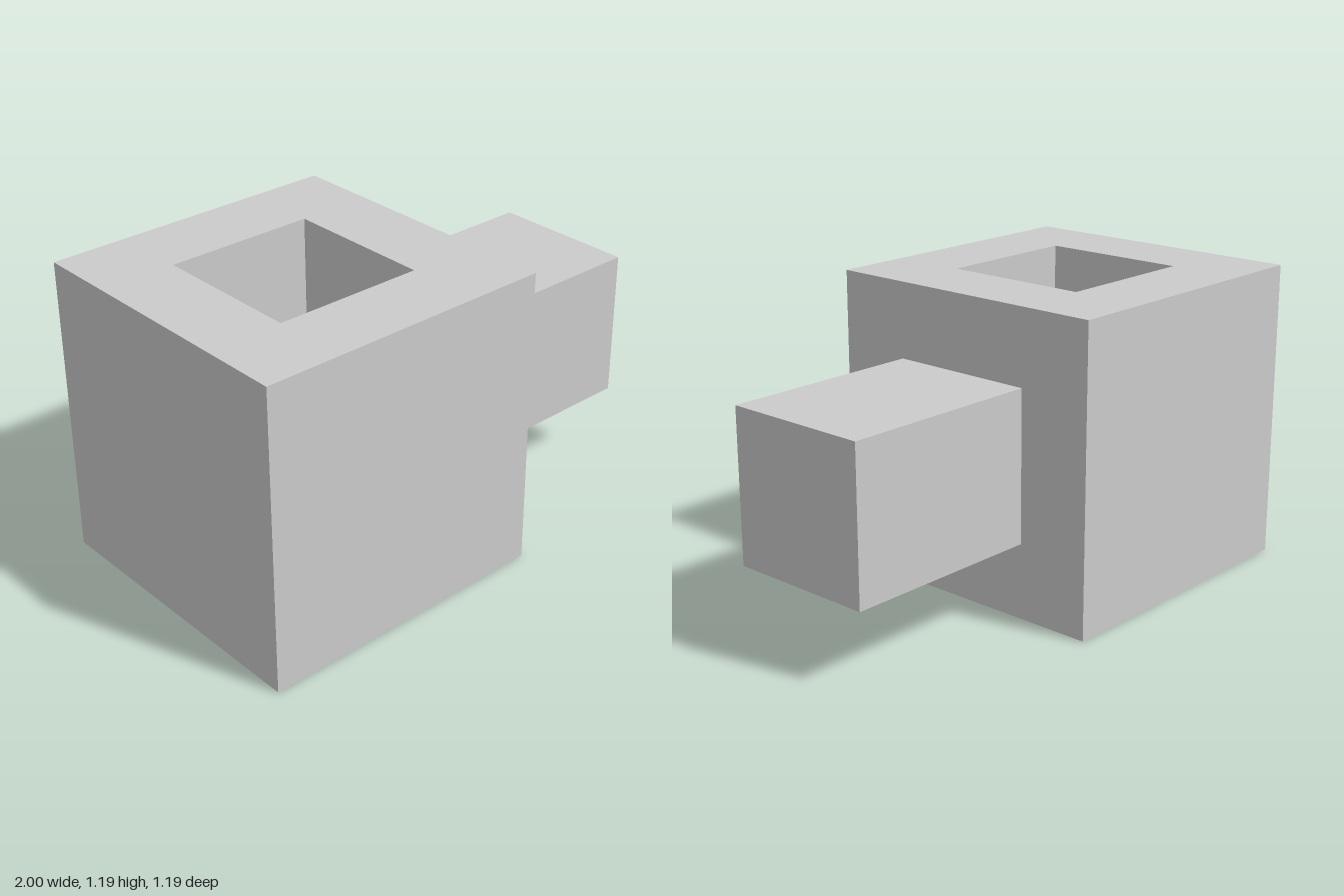
import * as THREE from 'three';

const U = 2 / 37;      // one design unit; overall length is 37 units
const CUBE = 22;       // side of the block
const PEG = 11;        // side of the peg and of the socket
const LENGTH = 15;     // peg length and socket depth

export function createModel() {
  const group = new THREE.Group();
  const material = new THREE.MeshStandardMaterial({ color: 0xcccccc, flatShading: true });

  // Block with a square socket in its top: a four-sided turned profile
  const outer = CUBE / Math.SQRT2, inner = PEG / Math.SQRT2;
  const profile = [
    [0, 0], [outer, 0], [outer, CUBE], [inner, CUBE], [inner, CUBE - LENGTH], [0, CUBE - LENGTH],
  ].map(([r, y]) => new THREE.Vector2(r * U, y * U));
  const blockGeometry = new THREE.LatheGeometry(profile, 4, Math.PI / 4).toNonIndexed();
  blockGeometry.computeVertexNormals();
  const block = new THREE.Mesh(blockGeometry, material);
  block.name = 'socketBlock';
  block.position.x = -1 + CUBE * U / 2;
  group.add(block);

  // Square peg standing out of the side, sized to fit the socket
  const peg = new THREE.Mesh(new THREE.BoxGeometry(LENGTH * U, PEG * U, PEG * U), material);
  peg.name = 'sidePeg';
  peg.position.set(1 - LENGTH * U / 2, CUBE * U / 2, 0);
  group.add(peg);

  return group;
}
